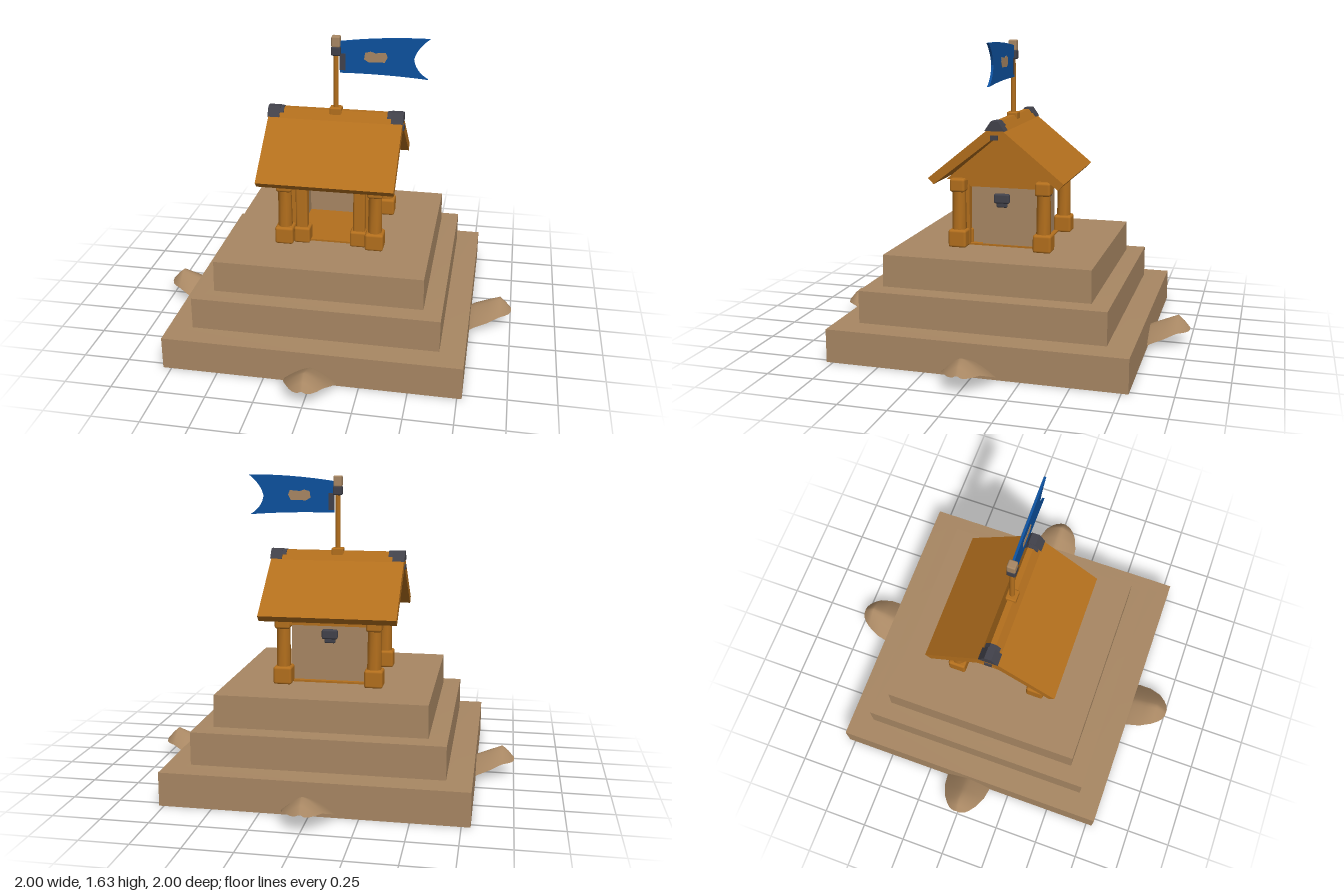
import * as THREE from 'three';
import { toCreasedNormals } from 'three/addons/utils/BufferGeometryUtils.js';
import { RoundedBoxGeometry } from 'three/addons/geometries/RoundedBoxGeometry.js';

const mat = (name, color, extra = {}) =>
  Object.assign(new THREE.MeshStandardMaterial({ color, ...extra }), { name });

export function createModel() {
  const stone = mat('sandstone', 0xa88763, { side: THREE.DoubleSide });
  const wood = mat('orangeWood', 0xb36f1d);
  const blue = mat('blueCloth', 0x0d519f);
  const dark = mat('darkIron', 0x42424b);
  const model = new THREE.Group();

  const add = (name, geo, material, x = 0, y = 0, z = 0, parent = model) => {
    const m = new THREE.Mesh(geo, material);
    m.name = name;
    m.position.set(x, y, z);
    parent.add(m);
    return m;
  };
  const box = (name, material, x0, x1, y0, y1, z0, z1, r = 0, parent = model) => {
    const [w, h, d] = [x1 - x0, y1 - y0, z1 - z0];
    const geo = r ? new RoundedBoxGeometry(w, h, d, 2, r) : new THREE.BoxGeometry(w, h, d);
    return add(name, geo, material, (x0 + x1) / 2, (y0 + y1) / 2, (z0 + z1) / 2, parent);
  };
  const outline = (pts) => new THREE.Shape(pts.map(([a, b]) => new THREE.Vector2(a, b)));
  // Profile in (z, y) extruded along x from x0 to x1
  const alongX = (pts, x0, x1) => {
    const g = new THREE.ExtrudeGeometry(outline(pts.map(([z, y]) => [-z, y])), {
      depth: x1 - x0, bevelEnabled: false });
    return g.rotateY(Math.PI / 2).translate(x0, 0, 0);
  };

  // Hollow three-step base, open below and around the house floor
  const steps = [[0.785, 0.005], [0.785, 0.182], [0.655, 0.186], [0.655, 0.36],
    [0.558, 0.364], [0.555, 0.535], [0.2, 0.535]];
  const base = new THREE.LatheGeometry(
    steps.map(([r, y]) => new THREE.Vector2(r * Math.SQRT2, y)), 4).rotateY(Math.PI / 4);
  add('steppedBase', toCreasedNormals(base, 0.3), stone, -0.01);

  // Arched hoods: [distance, half width, crest height, edge height]
  const hoodRows = [[0.77, 0.135, 0.09, 0.01], [0.8, 0.135, 0.108, 0.03], [0.87, 0.125, 0.138, 0.06],
    [0.935, 0.097, 0.165, 0.088], [0.97, 0.07, 0.135, 0.088], [0.99, 0.047, 0.11, 0.088],
    [1.0, 0.022, 0.1, 0.09]];
  const cols = 14;
  const hood = new THREE.PlaneGeometry(1, 1, cols, hoodRows.length - 1);
  const p = hood.attributes.position;
  hoodRows.forEach(([d, w, crest, edge], i) => {
    for (let j = 0; j <= cols; j++) {
      const u = (j / cols) * 2 - 1;
      const y = edge + (crest - edge) * (1 - Math.abs(u) ** 1.4);
      p.setXYZ(i * (cols + 1) + j, u * w, y, d);
    }
  });
  // Rows run outward, so reverse the corners to face up
  const idx = hood.index.array;
  for (let i = 0; i < idx.length; i += 3) [idx[i], idx[i + 1]] = [idx[i + 1], idx[i]];
  hood.computeVertexNormals();
  for (let i = 0; i < 4; i++) add('archedHood', hood, stone).rotation.y = (i * Math.PI) / 2;

  // House floor and walls, open at the front
  box('floor', wood, -0.215, 0.215, 0.525, 0.545, -0.215, 0.215);
  box('backWall', stone, -0.205, 0.205, 0.54, 0.87, -0.19, -0.17);
  for (const s of [-1, 1]) {
    const span = (a, b) => (s > 0 ? [a, b] : [-b, -a]);
    box('sideWall', stone, ...span(0.19, 0.21), 0.54, 0.87, -0.19, 0.11);
    box('sideWallRecess', stone, ...span(0.165, 0.185), 0.54, 0.87, 0.1, 0.19);
    box('frontPanel', wood, ...span(0.135, 0.225), 0.54, 0.87, 0.18, 0.2);
    box('doorJambFoot', wood, ...span(0.11, 0.198), 0.535, 0.625, 0.17, 0.255, 0.012);
    box('doorJamb', wood, ...span(0.125, 0.19), 0.6, 0.88, 0.18, 0.24, 0.012);
  }

  // Corner posts: foot, eight-sided shaft, head
  for (const x of [-0.248, 0.245]) for (const z of [-0.237, 0.232]) {
    const post = new THREE.Group();
    post.name = 'cornerPost';
    post.position.set(x, 0, z);
    model.add(post);
    box('postFoot', wood, -0.05, 0.05, 0.532, 0.63, -0.05, 0.05, 0.014, post);
    const shaft = new THREE.CylinderGeometry(0.036, 0.04, 0.25, 8).rotateY(Math.PI / 8);
    add('postShaft', toCreasedNormals(shaft, 0.9), wood, 0, 0.735, 0, post);
    box('postHead', wood, -0.042, 0.042, 0.835, 0.91, -0.042, 0.042, 0.014, post);
  }

  // Iron fittings on the three closed walls
  for (const a of [Math.PI / 2, Math.PI, -Math.PI / 2]) {
    const fitting = new THREE.Group();
    fitting.name = 'wallFitting';
    fitting.rotation.y = a;
    model.add(fitting);
    const d = Math.abs(a) < 3 ? 0.205 : 0.185;
    box('fittingPlate', dark, -0.043, 0.043, 0.775, 0.828, d, d + 0.03, 0.01, fitting);
    box('fittingFoot', dark, -0.03, 0.03, 0.752, 0.79, d, d + 0.022, 0.008, fitting);
  }

  // Ceiling beam, gable block and pitched roof
  box('ceilingBeam', wood, -0.225, 0.22, 0.86, 0.91, -0.27, 0.27);
  add('gable', alongX([[-0.3, 0.9], [0.3, 0.9], [0, 1.15]], -0.27, 0.25), wood);
  const roof = [[-0.368, 0.92], [-0.337, 0.888], [0, 1.15], [0.337, 0.888], [0.368, 0.92],
    [0.05, 1.178], [0.015, 1.228], [-0.015, 1.228], [-0.05, 1.178]];
  add('roof', alongX(roof, -0.377, 0.356), wood);

  // Iron caps at both ends of the ridge
  const cap = [[-0.054, 1.182], [0.054, 1.182], [0.019, 1.233], [-0.019, 1.233]];
  for (const [x0, x1, s] of [[-0.381, -0.315, 1], [0.295, 0.36, -1]]) {
    add('ridgeCap', alongX(cap, x0, x1), dark);
    const tip = cap.map(([z, y]) => [z * 0.75, y > 1.2 ? y - 0.001 : 1.205]);
    add('ridgeCapTip', alongX(tip, s > 0 ? x1 : x0 - 0.022, s > 0 ? x1 + 0.022 : x0), dark);
    const end = s > 0 ? x0 : x1;
    box('gableStud', dark, end - 0.004, end + 0.004, 1.135, 1.16, -0.02, 0.02);
  }

  // Flagpole
  const poleX = -0.01;
  box('poleFoot', wood, poleX - 0.033, poleX + 0.033, 1.198, 1.245, -0.03, 0.03, 0.008);
  add('pole', new THREE.CylinderGeometry(0.013, 0.014, 0.38, 12), wood, poleX, 1.42);
  box('poleCollar', dark, poleX - 0.024, poleX + 0.026, 1.53, 1.58, -0.024, 0.024, 0.008);
  box('poleCap', stone, poleX - 0.023, poleX + 0.023, 1.575, 1.635, -0.023, 0.023, 0.008);

  // Swallow-tailed flag with a plain patch on both faces
  const f = new THREE.Shape();
  f.moveTo(0.01, 1.435);
  f.quadraticCurveTo(0.25, 1.44, 0.48, 1.42);
  f.quadraticCurveTo(0.41, 1.46, 0.403, 1.525);
  f.quadraticCurveTo(0.42, 1.59, 0.485, 1.637);
  f.quadraticCurveTo(0.25, 1.64, 0.01, 1.605);
  const flag = new THREE.ExtrudeGeometry(f, { depth: 0.012, bevelEnabled: false, curveSegments: 8 });
  add('flag', flag, blue, 0, 0, -0.011);
  box('flagBinding', dark, 0.01, 0.04, 1.45, 1.54, -0.013, 0.003);
  const patch = outline([[0.14, 1.515], [0.165, 1.5], [0.25, 1.502], [0.265, 1.53],
    [0.255, 1.555], [0.2, 1.55], [0.175, 1.558], [0.145, 1.55]]);
  const patchGeo = new THREE.ExtrudeGeometry(patch, { depth: 0.002, bevelEnabled: false });
  for (const z of [0.001, -0.013]) add('flagPatch', patchGeo, stone, 0, 0, z);

  return model;
}
